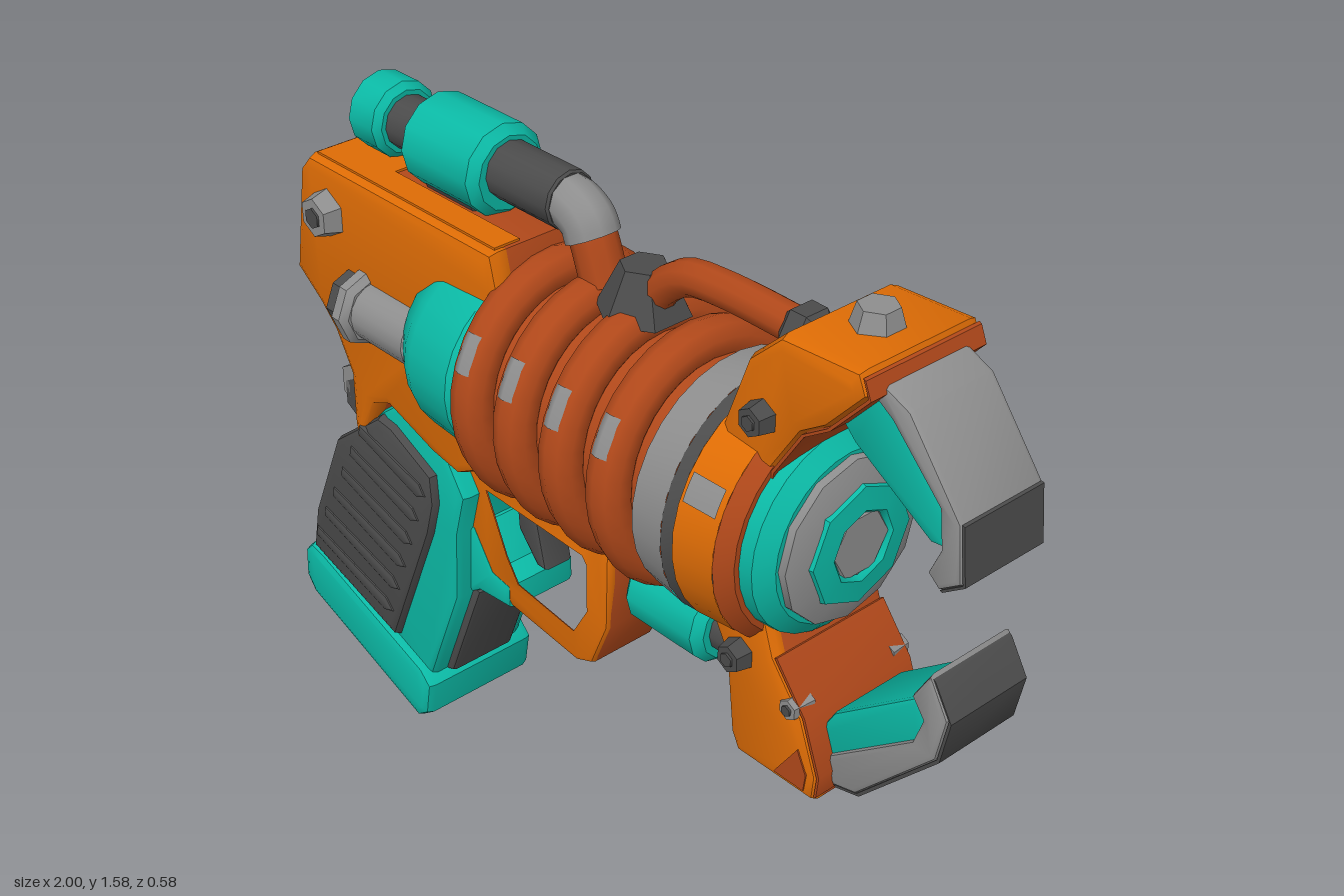
import * as THREE from 'three';
import { toCreasedNormals } from 'three/addons/utils/BufferGeometryUtils.js';

const material = (name, color) => {
  const m = new THREE.MeshStandardMaterial({ color });
  m.name = name;
  return m;
};

export function createModel() {
  const orange = material('orange', 0xde6c05);
  const rust = material('rust', 0xb0481a);
  const teal = material('teal', 0x0bb9a5);
  const dark = material('darkGrey', 0x4b4b4b);
  const light = material('lightGrey', 0x8e8e8e);
  const group = new THREE.Group();
  const axisY = 1.07; // height of the barrel axis

  const add = (name, geometry, mat, x = 0, y = 0, z = 0) => {
    const mesh = new THREE.Mesh(geometry, mat);
    mesh.name = name;
    mesh.position.set(x, y, z);
    group.add(mesh);
    return mesh;
  };

  // Side outline extruded between z0 and z1 with bevelled edges
  const slab = (name, pts, z0, z1, mat, bevel = 0.02, hole = null) => {
    const shape = new THREE.Shape(pts.map(p => new THREE.Vector2(...p)));
    if (hole) shape.holes.push(new THREE.Path(hole.map(p => new THREE.Vector2(...p))));
    const g = new THREE.ExtrudeGeometry(shape, {
      depth: z1 - z0 - 2 * bevel, bevelEnabled: bevel > 0, bevelThickness: bevel,
      bevelSize: bevel, bevelOffset: -bevel, bevelSegments: 2,
    });
    g.translate(0, 0, z0 + bevel);
    return add(name, toCreasedNormals(g, 0.6), mat);
  };

  // Thin painted plate following an edge path, offset by (dx, dy)
  const plate = (name, path, dx, dy, halfWidth, mat) =>
    slab(name, [...path, ...path.map(([x, y]) => [x + dx, y + dy]).reverse()], -halfWidth, halfWidth, mat, 0);

  // Profile of [x, radius] pairs turned around a lengthwise axis
  const turned = (name, profile, mat, y = axisY, z = 0, sides = 28, start = 0, sweep = Math.PI * 2) => {
    const g = new THREE.LatheGeometry(profile.map(([x, r]) => new THREE.Vector2(r, x)), sides, start, sweep);
    g.rotateZ(-Math.PI / 2);
    return add(name, toCreasedNormals(g, 0.6), mat, 0, y, z);
  };
  // Turned ring whose lower right part has its own colour
  const splitRing = (name, profile, mat, lowerMat) => {
    turned(name, profile, mat, axisY, 0, 22, Math.PI * 0.8, Math.PI * 1.5);
    turned(name + 'Underside', profile, lowerMat, axisY, 0, 8, Math.PI * 0.3, Math.PI * 0.5);
  };
  const rod = (name, x0, x1, r, mat, y, z = 0, sides = 16, b = 0.015) =>
    turned(name, [[x0, 0], [x0, r - b], [x0 + b, r], [x1 - b, r], [x1, r - b], [x1, 0]], mat, y, z, sides);

  const tube = (name, pts, r, mat) => {
    const curve = new THREE.CatmullRomCurve3(pts.map(([x, y]) => new THREE.Vector3(x, y, 0)));
    return add(name, new THREE.TubeGeometry(curve, 14, r, 10), mat);
  };

  // Hexagonal bolts on both sides
  const sideBolts = (name, x, y, z, r, mat) => {
    for (const s of [1, -1]) {
      const head = new THREE.CylinderGeometry(r * 0.75, r, 0.05, 6).rotateX(s * Math.PI / 2);
      add(name, toCreasedNormals(head, 0.6), mat, x, y, s * z);
      const socket = new THREE.CylinderGeometry(r * 0.4, r * 0.4, 0.008, 6).rotateX(s * Math.PI / 2);
      add(name + 'Socket', socket, dark, x, y, s * (z + 0.026));
    }
  };

  // Rear body, one colour on each side, with a lighter top border
  const body = [[-0.92, 1.08], [-0.875, 1.34], [-0.84, 1.38], [-0.22, 1.38], [-0.2, 1.3], [-0.2, 0.88],
    [-0.36, 0.79], [-0.45, 0.805], [-0.6, 0.855], [-0.66, 0.83], [-0.72, 0.69], [-0.74, 0.75], [-0.74, 0.88],
    [-0.79, 0.97], [-0.84, 1.02]];
  slab('bodyLeftSide', body, 0.09, 0.16, orange, 0.025);
  slab('bodyRightSide', body, -0.16, 0.135, rust, 0.025);
  const topPlate = (name, x1, z0, z1) =>
    slab(name, [[-0.83, 1.375], [x1, 1.375], [x1, 1.385], [-0.83, 1.385]], z0, z1, orange, 0);
  topPlate('bodyTopBorderLeft', -0.23, 0.07, 0.135);
  topPlate('bodyTopBorderRight', -0.23, -0.135, -0.075);
  topPlate('bodyTopRear', -0.64, -0.075, 0.07);
  sideBolts('bodyBolt', -0.77, 1.27, 0.175, 0.06, light);
  const pin = r => toCreasedNormals(new THREE.CylinderGeometry(r, r, 0.24, 6).rotateX(Math.PI / 2), 0.6);
  add('rearPin', pin(0.062), light, -0.768, 0.815, 0);
  add('rearPinLower', pin(0.058), dark, -0.762, 0.785, 0);

  // Side pistons
  for (const z of [0.15, -0.15]) {
    rod('pistonRod', -0.7, -0.44, 0.068, light, 1.085, z);
    rod('pistonCap', -0.685, -0.63, 0.09, light, 1.085, z, 8);
    rod('pistonSocket', -0.725, -0.67, 0.075, dark, 1.085, z, 8);
  }

  // Barrel: collar, core, coils and ring
  turned('rearCollar', [[-0.49, 0], [-0.49, 0.15], [-0.465, 0.205], [-0.4, 0.25], [-0.37, 0.262],
    [-0.24, 0.27], [-0.21, 0.25], [-0.21, 0]], teal, 1.085).scale.y = 0.86;
  rod('barrelCore', -0.24, 0.34, 0.225, rust, axisY, 0, 28);
  [-0.18, -0.045, 0.095, 0.235].forEach(x => {
    const coil = new THREE.TorusGeometry(0.242, 0.047, 10, 32).rotateY(-Math.PI / 2).rotateZ(0.05);
    add('coil', coil, rust, x, axisY, 0);
    const mark = new THREE.TorusGeometry(0.262, 0.029, 8, 5, 0.3);
    mark.rotateZ(0.35).rotateY(-Math.PI / 2).rotateZ(0.05);
    add('coilWearMark', mark, light, x, axisY, 0);
  });
  splitRing('barrelRing', [[0.3, 0.2], [0.3, 0.235], [0.32, 0.262], [0.41, 0.272]], light, dark);
  turned('barrelRingEdge', [[0.41, 0.272], [0.435, 0.262], [0.44, 0.2]], dark);

  // Front clamp: ring with an upper and lower arm
  splitRing('clampRing', [[0.42, 0.2], [0.42, 0.245], [0.44, 0.27], [0.54, 0.262]], orange, rust);
  turned('clampRingFace', [[0.54, 0.262], [0.57, 0.235], [0.57, 0]], rust);
  turned('clampWearMark', [[0.45, 0.273], [0.53, 0.267]], light, axisY, 0, 3, -0.6, 0.22);
  slab('upperClampArm', [[0.42, 1.18], [0.43, 1.27], [0.5, 1.46], [0.58, 1.535], [0.77, 1.545], [0.79, 1.5],
    [0.7, 1.4], [0.64, 1.36], [0.57, 1.25], [0.56, 1.18]], -0.155, 0.155, orange, 0.025);
  plate('upperClampFace', [[0.565, 1.2], [0.57, 1.25], [0.64, 1.36], [0.7, 1.4], [0.79, 1.5], [0.775, 1.535]],
    0.006, -0.003, 0.148, rust);
  const lowerArm = [[0.42, 0.96], [0.56, 0.96], [0.6, 0.84], [0.68, 0.74], [0.725, 0.62], [0.72, 0.56],
    [0.51, 0.56], [0.49, 0.6], [0.47, 0.78], [0.43, 0.85]];
  slab('lowerClampArmLeft', lowerArm, 0.1, 0.155, orange, 0.02);
  slab('lowerClampArmRight', lowerArm, -0.155, 0.14, rust, 0.02);
  slab('lowerClampPatch', [[0.62, 0.58], [0.7, 0.58], [0.705, 0.62], [0.68, 0.67]], 0.15, 0.158, rust, 0);
  plate('lowerClampFace', [[0.72, 0.57], [0.725, 0.62], [0.68, 0.74], [0.6, 0.84]], 0.006, 0.003, 0.148, rust);
  sideBolts('upperClampBolt', 0.55, 1.36, 0.165, 0.04, dark);
  sideBolts('lowerClampBolt', 0.515, 0.81, 0.165, 0.04, dark);
  sideBolts('smallClampBolt', 0.65, 0.75, 0.135, 0.03, light);
  add('topBolt', toCreasedNormals(new THREE.CylinderGeometry(0.04, 0.055, 0.05, 6), 0.6), light, 0.67, 1.555, 0);

  // Nose
  turned('noseRing', [[0.55, 0], [0.55, 0.225], [0.6, 0.22], [0.628, 0.185], [0.628, 0]], teal);
  turned('noseDisc', [[0.61, 0], [0.61, 0.18], [0.645, 0.178], [0.662, 0.13], [0.662, 0]], light, axisY, 0, 12);
  turned('noseInset', [[0.645, 0.07], [0.645, 0.138], [0.67, 0.13], [0.675, 0.08], [0.664, 0.07]], teal, axisY, 0, 8);
  rod('noseHub', 0.65, 0.668, 0.078, light, axisY, 0, 6, 0.005);

  // Claws: inner layer, outer shell with tip, dark outer faces
  slab('upperClawInner', [[0.68, 1.4], [0.77, 1.5], [0.945, 1.33], [0.95, 1.25], [0.91, 1.245], [0.72, 1.36]],
    -0.1, 0.1, teal, 0.01);
  slab('upperClawShell', [[0.75, 1.49], [0.79, 1.51], [0.85, 1.485], [0.98, 1.32], [0.994, 1.2], [0.945, 1.165],
    [0.915, 1.19], [0.94, 1.25], [0.93, 1.33], [0.81, 1.45]], -0.11, 0.11, light, 0.012);
  plate('upperClawTipFace', [[0.945, 1.165], [0.994, 1.2], [0.98, 1.32]], 0.006, -0.002, 0.104, dark);
  slab('lowerClawInner', [[0.68, 0.69], [0.72, 0.62], [0.93, 0.8], [0.95, 0.9], [0.905, 0.9], [0.715, 0.75]],
    -0.1, 0.1, teal, 0.01);
  slab('lowerClawShell', [[0.7, 0.64], [0.73, 0.585], [0.79, 0.6], [0.975, 0.8], [0.994, 0.9], [0.945, 0.98],
    [0.905, 0.91], [0.935, 0.87], [0.915, 0.81]], -0.11, 0.11, light, 0.012);
  plate('lowerClawFace', [[0.73, 0.585], [0.79, 0.6], [0.975, 0.8], [0.994, 0.9], [0.95, 0.972]],
    0.006, -0.004, 0.104, dark);

  // Upper canister and pipes
  rod('canisterCap', -0.79, -0.68, 0.086, teal, 1.465, 0, 12, 0.015);
  rod('canisterNeck', -0.7, -0.57, 0.06, dark, 1.465, 0, 12);
  rod('canister', -0.59, -0.34, 0.102, teal, 1.467, 0, 12, 0.02);
  rod('canisterEnd', -0.36, -0.15, 0.064, dark, 1.475, 0, 12, 0.005);
  rod('canisterFoot', -0.56, -0.38, 0.075, dark, 1.42, 0, 8);
  tube('pipeElbow', [[-0.18, 1.475], [-0.14, 1.472], [-0.1, 1.45], [-0.085, 1.42]], 0.058, light);
  tube('rearPipe', [[-0.1, 1.45], [-0.08, 1.41], [-0.05, 1.33]], 0.05, rust);
  tube('frontPipe', [[0.08, 1.33], [0.12, 1.39], [0.19, 1.44], [0.3, 1.455], [0.52, 1.455]], 0.038, rust);
  rod('frontPipeNut', 0.47, 0.54, 0.055, dark, 1.455, 0, 6);
  add('pipeSaddle', toCreasedNormals(new THREE.CylinderGeometry(0.05, 0.1, 0.1, 6), 0.3), dark, 0.065, 1.37, 0);

  // Lower canister
  rod('lowerCanister', 0.1, 0.33, 0.095, teal, 0.695, 0, 12, 0.02);
  rod('lowerCanisterRod', 0.31, 0.52, 0.058, dark, 0.695, 0, 12);

  // Trigger and guard
  const guard = [[-0.42, 0.82], [-0.25, 0.87], [0.03, 0.81], [0.055, 0.77], [0.05, 0.57], [0, 0.45],
    [-0.05, 0.43], [-0.27, 0.455], [-0.36, 0.5], [-0.42, 0.6]];
  const guardHole = [[-0.36, 0.74], [-0.02, 0.735], [0.0, 0.71], [0.0, 0.58], [-0.05, 0.495], [-0.25, 0.52],
    [-0.29, 0.58]];
  slab('triggerGuardLeft', guard, 0.055, 0.09, orange, 0.012, guardHole);
  slab('triggerGuardRight', guard, -0.09, 0.085, rust, 0.008, guardHole);
  slab('trigger', [[-0.31, 0.76], [-0.23, 0.76], [-0.235, 0.67], [-0.21, 0.56], [-0.24, 0.56], [-0.3, 0.63]],
    -0.04, 0.04, dark, 0.01);

  // Grip frame, side panels, ridges and base
  slab('gripFrame', [[-0.67, 0.8], [-0.6, 0.855], [-0.43, 0.8], [-0.37, 0.71], [-0.4, 0.6], [-0.41, 0.42],
    [-0.53, 0.12], [-0.92, 0.27], [-0.8, 0.66]], -0.137, 0.137, teal, 0.02);
  slab('gripSpur', [[-0.43, 0.62], [-0.39, 0.61], [-0.33, 0.52], [-0.27, 0.51], [-0.27, 0.45], [-0.38, 0.44],
    [-0.44, 0.4]], -0.095, 0.095, teal, 0.015);
  slab('gripPanel', [[-0.65, 0.805], [-0.6, 0.8], [-0.46, 0.735], [-0.455, 0.66], [-0.48, 0.57], [-0.635, 0.2],
    [-0.955, 0.3], [-0.93, 0.42], [-0.82, 0.67]], -0.16, 0.16, dark, 0.022);
  for (let i = 0; i < 6; i++) {
    const t = i / 5, h = 0.155 - 0.03 * t;
    const ridge = slab('gripRidge', [[-h, -0.012], [-h, 0.02], [h * 0.8, 0.022], [h, 0], [h * 0.8, -0.022]],
      -0.166, 0.166, dark, 0.01);
    ridge.position.set(-0.775 + 0.18 * t, 0.32 + 0.39 * t, 0);
    ridge.rotation.z = -0.26;
  }
  slab('gripFrontInsert', [[-0.56, 0.12], [-0.5, 0.14], [-0.385, 0.43], [-0.45, 0.45]], -0.09, 0.09, dark, 0.01);
  slab('gripBase', [[-1, 0.19], [-0.995, 0.27], [-0.965, 0.3], [-0.92, 0.29], [-0.54, 0.155], [-0.505, 0.12],
    [-0.52, 0.03], [-0.56, 0], [-0.97, 0.15]], -0.16, 0.16, teal, 0.022);

  return group;
}
